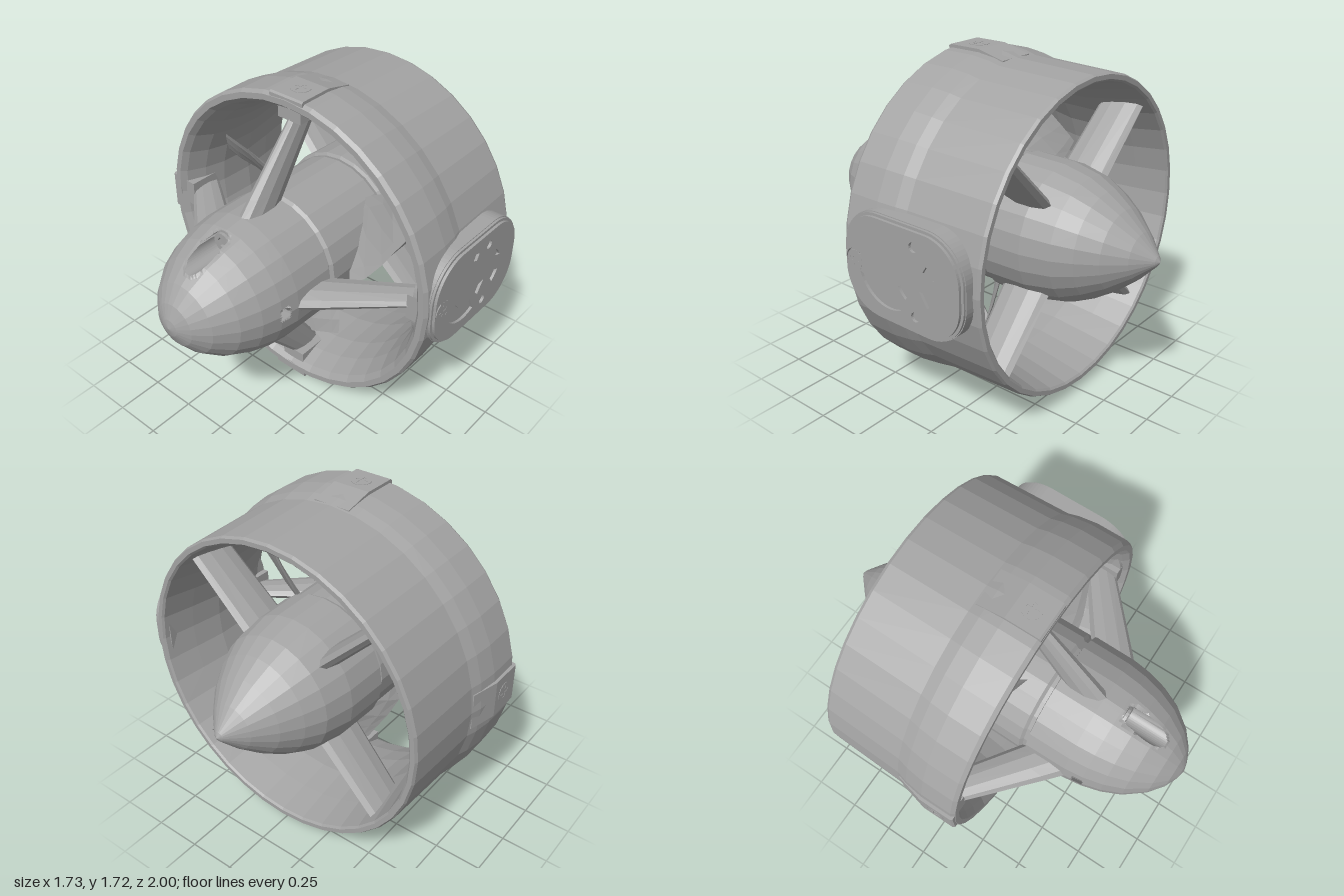
import * as THREE from 'three';

const steel = new THREE.MeshStandardMaterial({ color: 0xa3a3a3, side: THREE.DoubleSide });
steel.name = 'grey metal';

// Faceted shading
function flat(geo) {
  const g = geo.index ? geo.toNonIndexed() : geo;
  g.computeVertexNormals();
  return g;
}
function add(parent, name, geo, x = 0, y = 0, z = 0) {
  const m = new THREE.Mesh(flat(geo), steel);
  m.name = name;
  m.position.set(x, y, z);
  parent.add(m);
  return m;
}
// Solid of revolution about z; profile is [z, r] pairs, outside listed back to front
function turned(profile, sides) {
  return new THREE.LatheGeometry(profile.map(([z, r]) => new THREE.Vector2(r, z)), sides).rotateX(Math.PI / 2);
}
// Radial vane along +y; section: [radius, offset, z, chord, thickness, pitch]
function vane(sections, sides = 10) {
  const pos = [], idx = [];
  for (const [r, t, z, chord, thick, pitch] of sections) {
    for (let i = 0; i < sides; i++) {
      const a = (i / sides) * Math.PI * 2;
      const c = Math.cos(a) * chord / 2, n = -Math.sin(a) * thick / 2;
      pos.push(t + c * Math.cos(pitch) - n * Math.sin(pitch), r, z + c * Math.sin(pitch) + n * Math.cos(pitch));
    }
  }
  for (let s = 0; s < sections.length - 1; s++) {
    for (let i = 0; i < sides; i++) {
      const a = s * sides + i, b = s * sides + (i + 1) % sides;
      idx.push(a, b, b + sides, a, b + sides, a + sides);
    }
  }
  const top = (sections.length - 1) * sides;
  for (let i = 1; i < sides - 1; i++) idx.push(top, top + i, top + i + 1, 0, i + 1, i);
  const g = new THREE.BufferGeometry();
  g.setAttribute('position', new THREE.Float32BufferAttribute(pos, 3));
  g.setIndex(idx);
  return g;
}
// Group whose local +y points outward at the given angle
function spoke(parent, name, angle) {
  const g = new THREE.Group();
  g.name = name;
  g.rotation.z = angle - Math.PI / 2;
  parent.add(g);
  return g;
}
function circlePath(x, y, r) {
  const p = new THREE.Path();
  p.absarc(x, y, r, 0, Math.PI * 2);
  return p;
}
// Annular sector opening
function slot(x, y, r0, r1, a0, a1) {
  const p = new THREE.Path();
  p.absarc(x, y, r1, a0, a1, false);
  p.absarc(x, y, r0, a1, a0, true);
  p.closePath();
  return p;
}
// Screw head facing +z with a socket: 6-sided or cross-shaped
function screwHead(r, cross) {
  const s = new THREE.Shape();
  s.absarc(0, 0, r, 0, Math.PI * 2);
  const pts = [];
  if (cross) {
    const w = r * 0.16, l = r * 0.65;
    for (let k = 0; k < 4; k++) {
      const c = Math.cos(k * Math.PI / 2), n = Math.sin(k * Math.PI / 2);
      for (const [x, y] of [[l, -w], [l, w], [w, w]]) pts.push(new THREE.Vector2(x * c - y * n, x * n + y * c));
    }
  } else {
    for (let k = 0; k < 6; k++) pts.push(new THREE.Vector2(Math.cos(k * Math.PI / 3) * r * 0.55, Math.sin(k * Math.PI / 3) * r * 0.55));
  }
  s.holes.push(new THREE.Path(pts));
  return new THREE.ExtrudeGeometry(s, { depth: 0.015, bevelEnabled: false, curveSegments: 8 });
}

// Faceted nose with two bolt pockets and a cross window through the sides
function noseGeometry() {
  const prof = [[0.25, 0.33], [0.27, 0.33], [0.275, 0.352], [0.5, 0.35], [0.6, 0.337], [0.7, 0.31], [0.8, 0.265],
    [0.9, 0.188], [0.96, 0.112], [0.99, 0.045], [1, 0]];
  const fine = [];
  prof.forEach(([z, r], i) => {
    if (!i) return;
    const [z0, r0] = prof[i - 1], n = Math.ceil(Math.hypot(z - z0, r - r0) / 0.012);
    for (let k = 0; k < n; k++) fine.push([z0 + (z - z0) * k / n, r0 + (r - r0) * k / n]);
  });
  fine.push([1, 0]);
  let g = turned(fine, 144);
  const p = g.attributes.position, step = Math.PI / 12, hole = 0.055;
  for (let i = 0; i < p.count; i++) {
    let x = p.getX(i), y = p.getY(i), z = p.getZ(i);
    const a = Math.atan2(y, x) + Math.PI * 2;
    const k = Math.cos(step / 2) / Math.cos((a % step) - step / 2);
    x *= k; y *= k;
    const cy = Math.sign(y) * 0.283, d = Math.hypot(x, y - cy);
    if (d < 0.066 && z > 0.62) {
      const inside = d < hole;
      if (d > 0.044) {
        const s = (inside ? hole - 0.001 : hole + 0.001) / d;
        x *= s;
        y = cy + (y - cy) * s;
      }
      if (inside) z = 0.62;
    }
    p.setXYZ(i, x, y, z);
  }
  g = g.toNonIndexed();
  const src = g.attributes.position.array, keep = [];
  for (let i = 0; i < src.length; i += 9) {
    const y = (src[i + 1] + src[i + 4] + src[i + 7]) / 3, z = (src[i + 2] + src[i + 5] + src[i + 8]) / 3;
    if (Math.abs(y) < 0.037 && z > 0.55 && z < 0.605) continue;
    for (let k = 0; k < 9; k++) keep.push(src[i + k]);
  }
  const out = new THREE.BufferGeometry();
  out.setAttribute('position', new THREE.Float32BufferAttribute(keep, 3));
  return out;
}

export function createModel() {
  const root = new THREE.Group();
  root.name = 'ductedThruster';
  const body = new THREE.Group();
  body.name = 'thrusterBody';
  body.position.set(-0.008, 0.856, 0);
  root.add(body);

  // Duct with a flared mouth and a thin trailing edge
  add(body, 'duct', turned([[-0.59, 0.765], [-0.6, 0.775], [-0.6, 0.798], [-0.585, 0.806], [-0.16, 0.82], [-0.1, 0.836],
    [0.0, 0.849], [0.17, 0.849], [0.19, 0.835], [0.19, 0.805], [0.16, 0.78], [0.06, 0.74], [-0.06, 0.715],
    [-0.25, 0.71], [-0.42, 0.735], [-0.59, 0.765]], 36));

  // Hub
  add(body, 'nose', noseGeometry());
  add(body, 'propellerHub', turned([[-0.2, 0], [-0.2, 0.34], [0.235, 0.345], [0.25, 0.33], [0.25, 0]], 24));
  add(body, 'tailCone', turned([[-1, 0], [-0.985, 0.025], [-0.9, 0.118], [-0.8, 0.205], [-0.7, 0.27], [-0.6, 0.318],
    [-0.45, 0.35], [-0.225, 0.355], [-0.215, 0.34], [-0.215, 0]], 24));
  for (const s of [1, -1]) add(body, 'noseBolt', screwHead(0.049, false), 0, s * 0.283, 0.622);

  // Propeller: three swept, twisted blades
  for (let k = 0; k < 3; k++) {
    const g = spoke(body, 'propellerBlade', (31 + 120 * k) * Math.PI / 180);
    add(g, 'blade', vane([[0.28, 0.08, 0, 0.44, 0.035, 0.72], [0.38, 0.07, 0, 0.42, 0.03, 0.66],
      [0.5, 0.04, 0, 0.35, 0.022, 0.6], [0.59, 0.005, 0, 0.3, 0.018, 0.54], [0.675, -0.02, 0, 0.25, 0.012, 0.5]], 8));
  }

  // Front struts with feet, and outer screw pads
  const padSide = new THREE.Shape([[0.188, 0.8], [0.188, 0.848], [0.178, 0.856], [0.0, 0.856], [-0.15, 0.82], [-0.15, 0.8]]
    .map(([z, r]) => new THREE.Vector2(-z, r)));
  for (let k = 0; k < 4; k++) {
    const g = spoke(body, 'frontStrut', k * Math.PI / 2);
    add(g, 'strut', vane([[0.3, 0, 0.41, 0.28, 0.11, Math.PI / 2], [0.42, 0, 0.315, 0.26, 0.095, Math.PI / 2],
      [0.75, 0, 0.05, 0.19, 0.06, Math.PI / 2]]));
    add(g, 'strutFoot', new THREE.BoxGeometry(0.14, 0.06, 0.24), 0, 0.752, 0.045);
    if (k === 0) continue;
    const pad = new THREE.ExtrudeGeometry(padSide, { depth: 0.2, bevelEnabled: false });
    add(g, 'screwPad', pad.rotateY(Math.PI / 2), -0.1);
    add(g, 'padScrew', screwHead(0.05, true).rotateX(-Math.PI / 2), 0, 0.843, 0.08);
  }

  // Rear stator vanes on the diagonals
  for (let k = 0; k < 4; k++) {
    const g = spoke(body, 'rearStator', Math.PI / 4 + k * Math.PI / 2);
    add(g, 'stator', vane([[0.28, 0, -0.41, 0.27, 0.085, Math.PI / 2], [0.76, 0, -0.43, 0.24, 0.07, Math.PI / 2]]));
  }

  // Side mounting plate: solid base and a face layer with cut-outs
  const outline = (inset) => {
    const s = new THREE.Shape(), w = 0.365 - inset, h = 0.263 - inset, r = 0.215 - inset, cx = 0.2;
    s.absarc(cx + w - r, h - r, r, 0, Math.PI / 2);
    s.absarc(cx - w + r, h - r, r, Math.PI / 2, Math.PI);
    s.absarc(cx - w + r, -h + r, r, Math.PI, Math.PI * 1.5);
    s.absarc(cx + w - r, -h + r, r, Math.PI * 1.5, Math.PI * 2);
    s.closePath();
    return s;
  };
  const mount = new THREE.Group();
  mount.name = 'sideMount';
  mount.position.y = 0.862;
  root.add(mount);
  const layer = (name, shape, x0, x1) => add(mount, name,
    new THREE.ExtrudeGeometry(shape, { depth: x1 - x0, bevelEnabled: false, curveSegments: 8 }).rotateY(Math.PI / 2), x0);
  layer('mountBase', outline(0), 0.745, 0.838);
  layer('mountRim', outline(0.004), 0.838, 0.85);
  const face = outline(0.018), deg = Math.PI / 180;
  face.holes.push(slot(0.12, 0, 0.1, 0.185, 65 * deg, 168 * deg), slot(0.12, 0, 0.1, 0.185, 192 * deg, 295 * deg));
  for (const a of [40, 140, 220, 320]) face.holes.push(slot(0.295, 0, 0.035, 0.12, (a - 17) * deg, (a + 17) * deg));
  for (const [u, y] of [[0.12, 0], [0.285, 0.17], [0.285, -0.17], [0.455, 0]]) face.holes.push(circlePath(u, y, 0.024));
  face.holes.push(circlePath(-0.09, 0, 0.055));
  layer('mountFace', face, 0.85, 0.864);
  add(mount, 'mountScrew', screwHead(0.048, true).rotateY(Math.PI / 2), 0.85, 0, 0.09);
  return root;
}
